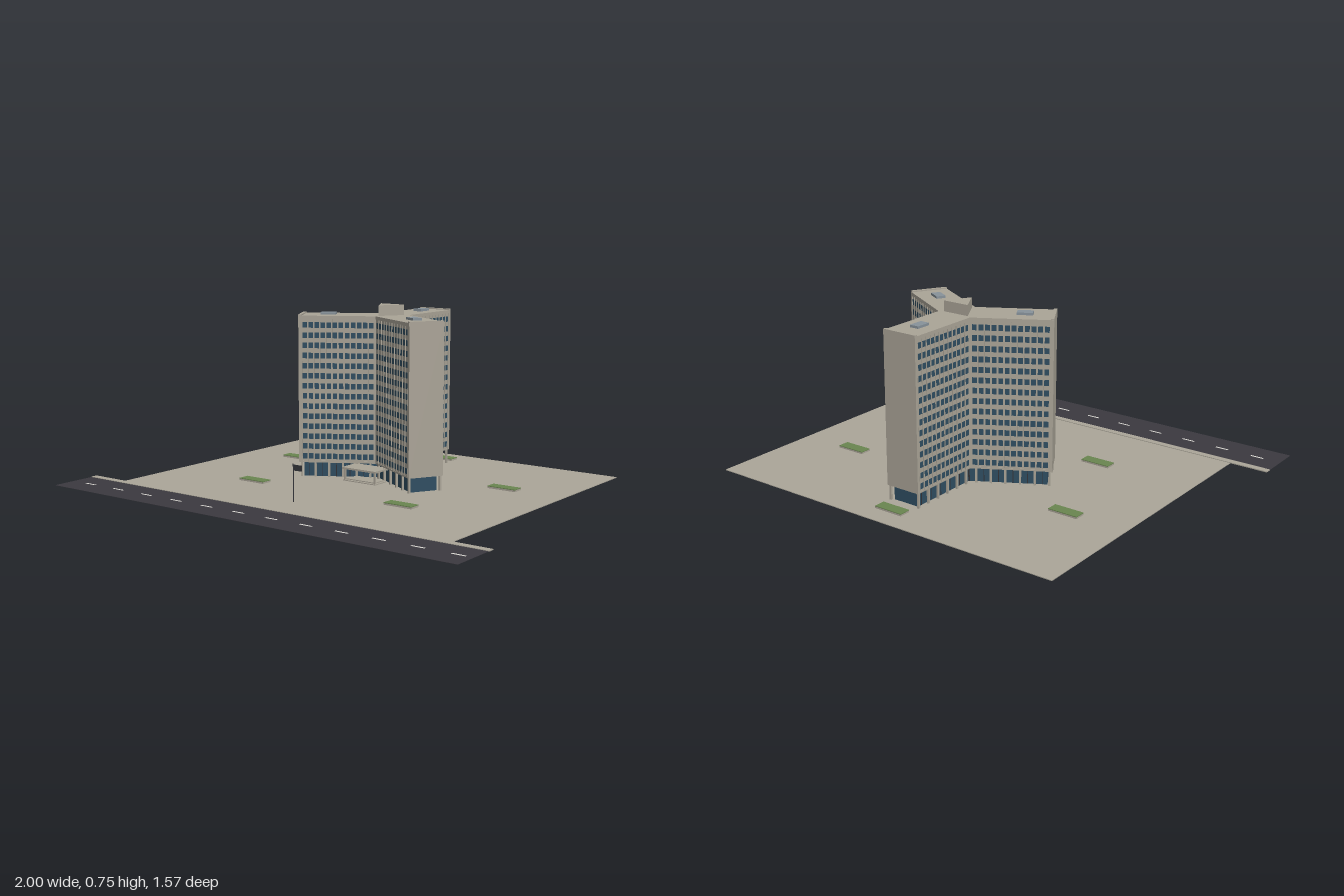
import * as THREE from 'three';
import { mergeGeometries } from 'three/addons/utils/BufferGeometryUtils.js';

const material = (name, color) => {
  const m = new THREE.MeshStandardMaterial({ color });
  m.name = name;
  return m;
};

export function createModel() {
  const concrete = material('concrete', 0xaaa497);
  const paving = material('paving', 0xaba699);
  const asphalt = material('asphalt', 0x3b393f);
  const paint = material('roadPaint', 0xe4e2dc);
  const glass = material('glass', 0x2f4d61);
  const metal = material('darkMetal', 0x34353a);
  const green = material('hedgeGreen', 0x69854f);
  const roofUnit = material('roofUnitGrey', 0x87929a);

  const model = new THREE.Group();
  model.name = 'towerBlock';

  // Box centred on x and z, with its base at y
  const boxGeo = (w, h, d, x, y, z) => new THREE.BoxGeometry(w, h, d).translate(x, y + h / 2, z);
  const add = (parent, name, geo, mat) => {
    const mesh = new THREE.Mesh(geo, mat);
    mesh.name = name;
    parent.add(mesh);
    return mesh;
  };
  const box = (parent, name, mat, ...dims) => add(parent, name, boxGeo(...dims), mat);

  // Ground, pavement and road
  box(model, 'plaza', paving, 1.66, 0.003, 1.445, 0, 0, -0.0625);
  box(model, 'road', asphalt, 2, 0.001, 0.2, 0, 0.003, 0.68);
  box(model, 'pavement', paving, 2, 0.004, 0.03, 0, 0.002, 0.565);
  const dashes = [];
  for (let i = 0; i < 12; i++) {
    dashes.push(boxGeo(0.058, 0.001, 0.008, -0.893 + i * 0.1667, 0.004, 0.678));
  }
  add(model, 'laneDashes', mergeGeometries(dashes), paint);

  // Planters with hedges
  for (const [x, z] of [[0, -0.675], [0.555, -0.29], [-0.555, -0.29], [0.38, 0.212], [-0.38, 0.212]]) {
    box(model, 'planter', concrete, 0.132, 0.007, 0.05, x, 0.003, z);
    box(model, 'hedge', green, 0.132, 0.003, 0.05, x, 0.01, z);
  }

  // Tower: three wings meeting at 120 degrees
  const H = 0.076, L = 0.378, BASE = 0.07, ROOF = 0.705;
  const tower = new THREE.Group();
  tower.name = 'tower';
  tower.position.z = -0.232;
  model.add(tower);

  const starPrism = (half, length, y0, y1) => {
    const points = [];
    for (let k = 0; k < 3; k++) {
      const turn = k * Math.PI * 2 / 3;
      for (const [x, y] of [[half, half / Math.sqrt(3)], [half, length], [-half, length]]) {
        points.push(new THREE.Vector2(x, y).rotateAround(new THREE.Vector2(), turn));
      }
    }
    return new THREE.ExtrudeGeometry(new THREE.Shape(points), { depth: y1 - y0, bevelEnabled: false })
      .rotateX(-Math.PI / 2).translate(0, y0, 0);
  };
  add(tower, 'upperFloors', starPrism(H, L - 0.004, BASE, ROOF - 0.014), concrete);
  add(tower, 'roofSlab', starPrism(H + 0.003, L - 0.002, ROOF - 0.014, ROOF), concrete);
  add(tower, 'floorSlab', starPrism(H + 0.002, L - 0.002, BASE - 0.004, BASE + 0.004), concrete);
  add(tower, 'lobbyGlass', starPrism(0.06, L - 0.02, 0.003, BASE), glass);

  // Triangular plant room with one corner to the front
  const plant = new THREE.CylinderGeometry(0.069, 0.069, 0.75 - ROOF, 3).toNonIndexed();
  plant.computeVertexNormals();
  add(tower, 'plantRoom', plant, concrete).position.y = (0.75 + ROOF) / 2;

  // Facade parts, repeated on each wing
  const FLOORS = 14, BAYS = 12, START = 0.05, END = 0.364;
  const bay = (END - START) / BAYS, floor = (ROOF - 0.014 - BASE - 0.006) / FLOORS;
  for (let k = 0; k < 3; k++) {
    const wing = new THREE.Group();
    wing.name = 'wing';
    wing.rotation.y = k * Math.PI * 2 / 3;
    tower.add(wing);
    const panes = [], fins = [], columns = [], mullions = [];
    for (const side of [-1, 1]) {
      for (let b = 0; b < BAYS; b++) {
        const z = -START - (b + 0.5) * bay;
        for (let f = 0; f < FLOORS; f++) {
          panes.push(boxGeo(0.002, 0.024, 0.019, side * H, BASE + 0.012 + f * floor, z));
        }
      }
      for (let b = 1; b <= BAYS; b++) {
        fins.push(boxGeo(0.006, ROOF - BASE - 0.014, 0.004, side * H, BASE, -START - b * bay));
      }
      for (let c = 0; c < 6; c++) {
        const z = -0.067 - c * 0.06;
        columns.push(boxGeo(0.009, BASE - 0.003, 0.009, side * (H - 0.005), 0.003, z));
        mullions.push(boxGeo(0.003, BASE - 0.003, 0.003, side * 0.06, 0.003, z + 0.03));
      }
    }
    add(wing, 'windows', mergeGeometries(panes), glass);
    add(wing, 'facadeFins', mergeGeometries(fins), concrete);
    add(wing, 'groundColumns', mergeGeometries(columns), concrete);
    add(wing, 'lobbyMullions', mergeGeometries(mullions), metal);
    box(wing, 'endWall', concrete, 0.157, 0.71 - BASE + 0.002, 0.014, 0, BASE - 0.002, -L + 0.007);
    box(wing, 'roofUnit', roofUnit, 0.04, 0.01, 0.065, 0, ROOF, -0.257);
  }

  // Entrance canopy and steps
  const entrance = new THREE.Group();
  entrance.name = 'entrance';
  model.add(entrance);
  box(entrance, 'canopy', concrete, 0.176, 0.008, 0.1, 0, 0.054, -0.07);
  box(entrance, 'lowerStep', concrete, 0.172, 0.004, 0.085, 0, 0.003, -0.065);
  box(entrance, 'upperStep', concrete, 0.15, 0.004, 0.07, 0, 0.007, -0.07);
  for (const x of [-0.078, 0.078]) {
    box(entrance, 'canopyPost', concrete, 0.007, 0.051, 0.007, x, 0.003, -0.03);
  }

  // Flagpole
  add(model, 'flagpole', new THREE.CylinderGeometry(0.002, 0.002, 0.157, 8), metal)
    .position.set(0, 0.0815, 0.415);
  box(model, 'flag', metal, 0.042, 0.024, 0.002, 0.022, 0.132, 0.415);

  return model;
}
